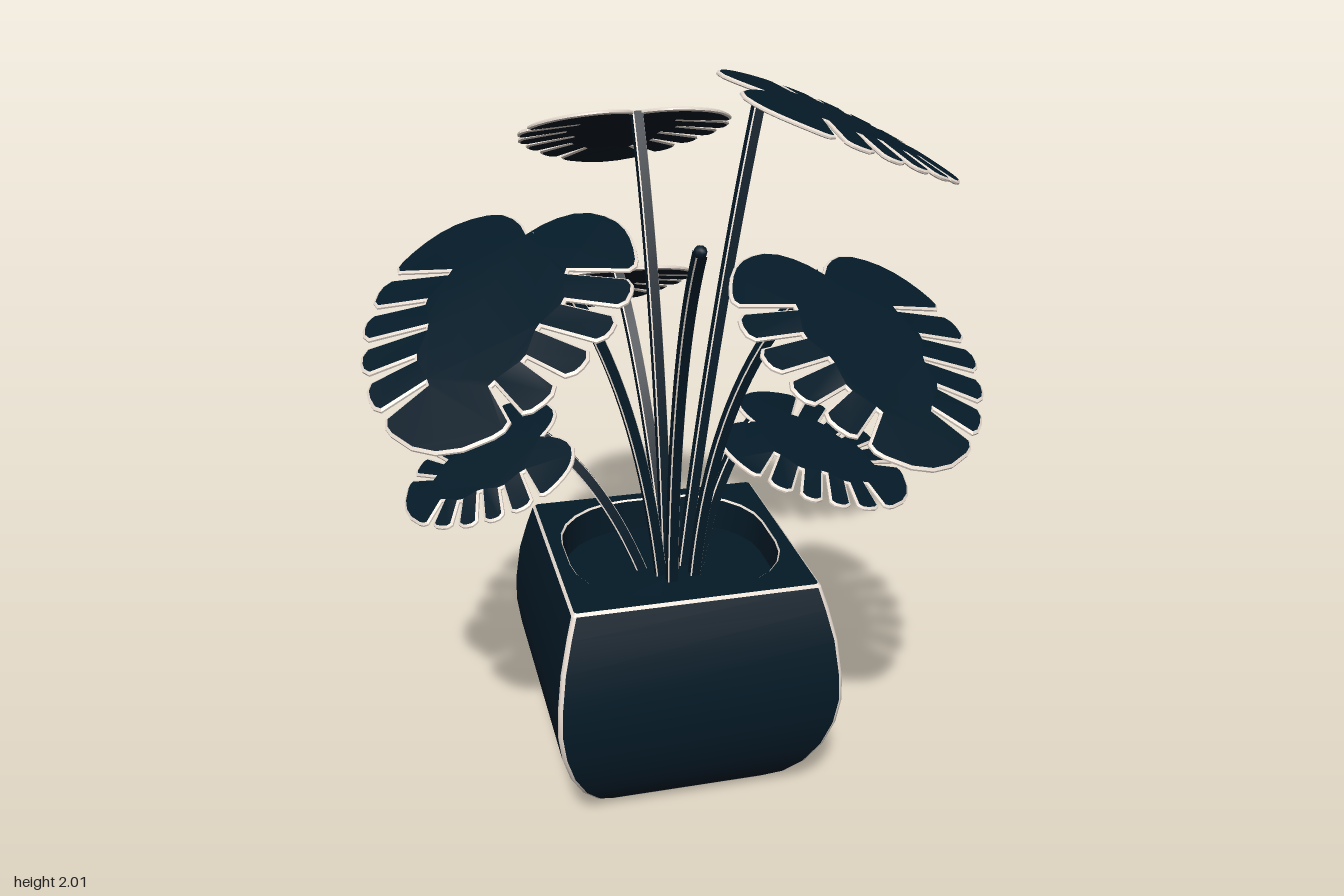
import * as THREE from 'three';
import { toCreasedNormals } from 'three/addons/utils/BufferGeometryUtils.js';

const V = (x, y, z) => new THREE.Vector3(x, y, z);
const CX = -0.04, CZ = 0.07; // middle of the pot
const ARC = 6; // segments in each rounded corner of a ring

// Rounded square ring of half width h and corner radius r at height y
function ring(h, r, y) {
  const pts = [];
  for (let q = 0; q < 4; q++) {
    const mid = (q + 0.5) * Math.PI / 2;
    const cx = Math.sign(Math.cos(mid)) * (h - r), cz = Math.sign(Math.sin(mid)) * (h - r);
    for (let i = 0; i <= ARC; i++) {
      const t = (q + i / ARC) * Math.PI / 2;
      pts.push([CX + cx + Math.cos(t) * r, y, CZ + cz + Math.sin(t) * r]);
    }
  }
  return pts;
}

// Skin over rings; keep chooses which columns of faces to build
function loft(rings, keep = () => true) {
  const pos = [];
  for (let i = 0; i < rings.length - 1; i++) {
    const lo = rings[i], hi = rings[i + 1], n = lo.length;
    for (let j = 0; j < n; j++) {
      if (!keep(j)) continue;
      const k = (j + 1) % n;
      pos.push(...lo[j], ...hi[j], ...lo[k], ...lo[k], ...hi[j], ...hi[k]);
    }
  }
  const g = new THREE.BufferGeometry();
  g.setAttribute('position', new THREE.Float32BufferAttribute(pos, 3));
  return toCreasedNormals(g, 0.6);
}

// Half outline of a leaf: x is a fraction of the half width, y of the length
const HALF = [[0, 0], [0.12, -0.08], [0.36, -0.14], [0.68, -0.08], [0.92, 0.1], [1, 0.32],
  [0.93, 0.53], [0.73, 0.74], [0.44, 0.91], [0.18, 0.985], [0, 1]];
const SLITS = [0.42, 0.53, 0.63, 0.73, 0.84];

function leafShape(length, width) {
  const curve = new THREE.CatmullRomCurve3(
    HALF.map(([x, y]) => V(x * width / 2, y * length, 0)), false, 'centripetal');
  const half = [];
  const add = (t, reach = 1) => {
    const p = curve.getPointAt(t);
    // Slits run in towards the midrib, slightly back towards the stem
    const q = V(0, p.y * 0.6 + 0.09 * length, 0).lerp(p, reach);
    half.push(new THREE.Vector2(q.x, q.y));
  };
  for (let i = 0; i <= 10; i++) add(i / 10 * 0.37);
  SLITS.forEach((s, i) => {
    const depth = i % 2 ? 0.55 : 0.48;
    add(s - 0.03, 0.99);
    add(s - 0.012, 0.94);
    add(s - 0.006, depth);
    add(s + 0.006, depth);
    add(s + 0.012, 0.94);
    add(s + 0.03, 0.99);
    add(s + 0.052);
  });
  add(0.95);
  add(1);
  const mirrored = half.slice(1, -1).reverse().map((p) => new THREE.Vector2(-p.x, p.y));
  return new THREE.Shape([...half, ...mirrored]);
}

// Thin blade with bevelled sides; group 0 is the blade, group 1 its edge
function leafGeometry(length, width) {
  const g = new THREE.ExtrudeGeometry(leafShape(length, width), {
    depth: 0.005, bevelSegments: 1, bevelSize: 0.007, bevelOffset: -0.007, bevelThickness: 0.004 });
  // Arch the blade along its length and droop the sides a little
  const p = g.attributes.position;
  for (let i = 0; i < p.count; i++) {
    const x = p.getX(i), y = p.getY(i);
    p.setZ(i, p.getZ(i) - 0.0025 + 0.14 * y * (length - y) / length - 0.12 * x * x / width);
  }
  return toCreasedNormals(g, 0.5);
}

// Four-sided stem with chamfered corners; group 0 is the sides, group 1 the corners
function stemGeometry(curve) {
  const steps = 20, sides = 8;
  const g = new THREE.TubeGeometry(curve, steps, 0.021, sides);
  const p = g.attributes.position, a = V(0, 0, 0), b = V(0, 0, 0);
  for (let j = 0; j <= steps; j++) for (let i = 0; i <= sides; i += 2) {
    const row = j * (sides + 1);
    a.fromBufferAttribute(p, row + i);
    b.fromBufferAttribute(p, row + i % sides + 1);
    a.lerp(b, 0.72);
    p.setXYZ(row + i, a.x, a.y, a.z);
  }
  for (let q = 0; q < steps * sides; q++) g.addGroup(q * 6, 6, q % 2 ? 0 : 1);
  return toCreasedNormals(g, 0.4);
}

// at: where the stem meets the blade; dir: heading (x, z); slope: rise per unit of x and z
const LEAVES = [
  { name: 'upperBackLeaf', at: [-0.05, 1.89, -0.27], dir: [0, -1], slope: [0, 0.46], size: [0.61, 0.635], base: [-0.04, 0.04], bow: [-0.05, 1.4, 0.0] },
  { name: 'lowerBackLeaf', at: [-0.085, 1.39, -0.41], dir: [0, -1], slope: [0, 0.54], size: [0.57, 0.54], base: [-0.03, 0.0], bow: [-0.06, 1.15, -0.13] },
  { name: 'upperLeftLeaf', at: [0.26, 1.965, -0.09], dir: [1, -0.08], slope: [-0.47, -0.1], size: [0.68, 0.565], base: [0.0, 0.06], bow: [0.1, 1.35, 0.02] },
  { name: 'frontLeftLeaf', at: [0.325, 1.55, 0.28], dir: [0.12, 1], slope: [-0.25, -0.47], size: [0.69, 0.66], base: [0.02, 0.12], bow: [0.07, 1.25, 0.13] },
  { name: 'frontRightLeaf', at: [-0.43, 1.67, 0.14], dir: [-0.45, 0.89], slope: [0.31, -0.37], size: [0.76, 0.68], base: [-0.07, 0.1], bow: [-0.14, 1.32, 0.11] },
  { name: 'lowerRightLeaf', at: [-0.385, 1.035, -0.02], dir: [-1, 0], slope: [0.48, -0.28], size: [0.445, 0.48], base: [-0.11, 0.05], bow: [-0.22, 0.9, 0.03] },
  { name: 'lowerLeftLeaf', at: [0.22, 1.035, 0.02], dir: [0.85, 0.45], slope: [-0.3, -0.3], size: [0.5, 0.52], base: [0.04, 0.07], bow: [0.1, 0.9, 0.05] },
];

export function createModel() {
  const model = new THREE.Group();
  const darkTeal = new THREE.MeshStandardMaterial({ color: 0x041a27 });
  darkTeal.name = 'darkTeal';
  const paleEdge = new THREE.MeshStandardMaterial({ color: 0xe9ddd2 });
  paleEdge.name = 'paleEdge';
  const edged = [darkTeal, paleEdge];
  const add = (name, geometry, material = darkTeal) => {
    const mesh = new THREE.Mesh(geometry, material);
    mesh.name = name;
    model.add(mesh);
    return mesh;
  };

  // Square bulging planter with pale corners
  const wall = [[0.242, 0.005], [0.288, 0.045], [0.333, 0.105], [0.372, 0.185], [0.397, 0.27],
    [0.408, 0.35], [0.406, 0.43], [0.392, 0.54], [0.37, 0.63], [0.352, 0.692]]
    .map(([h, y]) => ring(h, 0.012, y));
  const isCorner = (j) => j % (ARC + 1) < ARC;
  add('planterWalls', loft(wall, (j) => !isCorner(j)));
  add('planterCorners', loft(wall, isCorner), paleEdge);

  // Base, thick rim and a rounder opening, with pale edges between them
  const foot = ring(0.237, 0.012, 0), rimOuter = ring(0.344, 0.012, 0.7);
  const rimInner = ring(0.308, 0.24, 0.7), mouth = ring(0.304, 0.24, 0.695);
  add('planterBase', loft([ring(0.001, 0.001, 0), foot]));
  add('planterFootEdge', loft([foot, wall[0]]), paleEdge);
  add('planterRimEdge', loft([wall[wall.length - 1], rimOuter]), paleEdge);
  add('planterRim', loft([rimOuter, rimInner]));
  add('planterMouthEdge', loft([rimInner, mouth]), paleEdge);
  add('planterInside', loft([mouth, ring(0.3, 0.24, 0.59)]));
  add('soil', loft([ring(0.302, 0.24, 0.6), ring(0.001, 0.001, 0.62)]));

  const stem = (name, base, bow, top) => add(name, stemGeometry(
    new THREE.QuadraticBezierCurve3(V(base[0], 0.58, base[1]), V(...bow), top)), edged);

  // Leaves, each on its own arching stem
  for (const { name, at, dir, slope, size, base, bow } of LEAVES) {
    const [a, b] = slope, [dx, dz] = dir;
    const along = V(dx, a * dx + b * dz, dz).normalize();
    const normal = V(-a, 1, -b).normalize();
    const across = along.clone().cross(normal);
    add(name, leafGeometry(...size), edged)
      .applyMatrix4(new THREE.Matrix4().makeBasis(across, along, normal).setPosition(...at));
    stem(name + 'Stem', base, bow, V(...at));
  }

  // New shoot without a blade, closed at the tip
  const tip = V(-0.05, 1.68, 0.44);
  stem('shoot', [-0.05, 0.14], [-0.05, 1.3, 0.17], tip);
  add('shootTip', new THREE.SphereGeometry(0.018, 8, 6)).position.copy(tip);

  return model;
}
